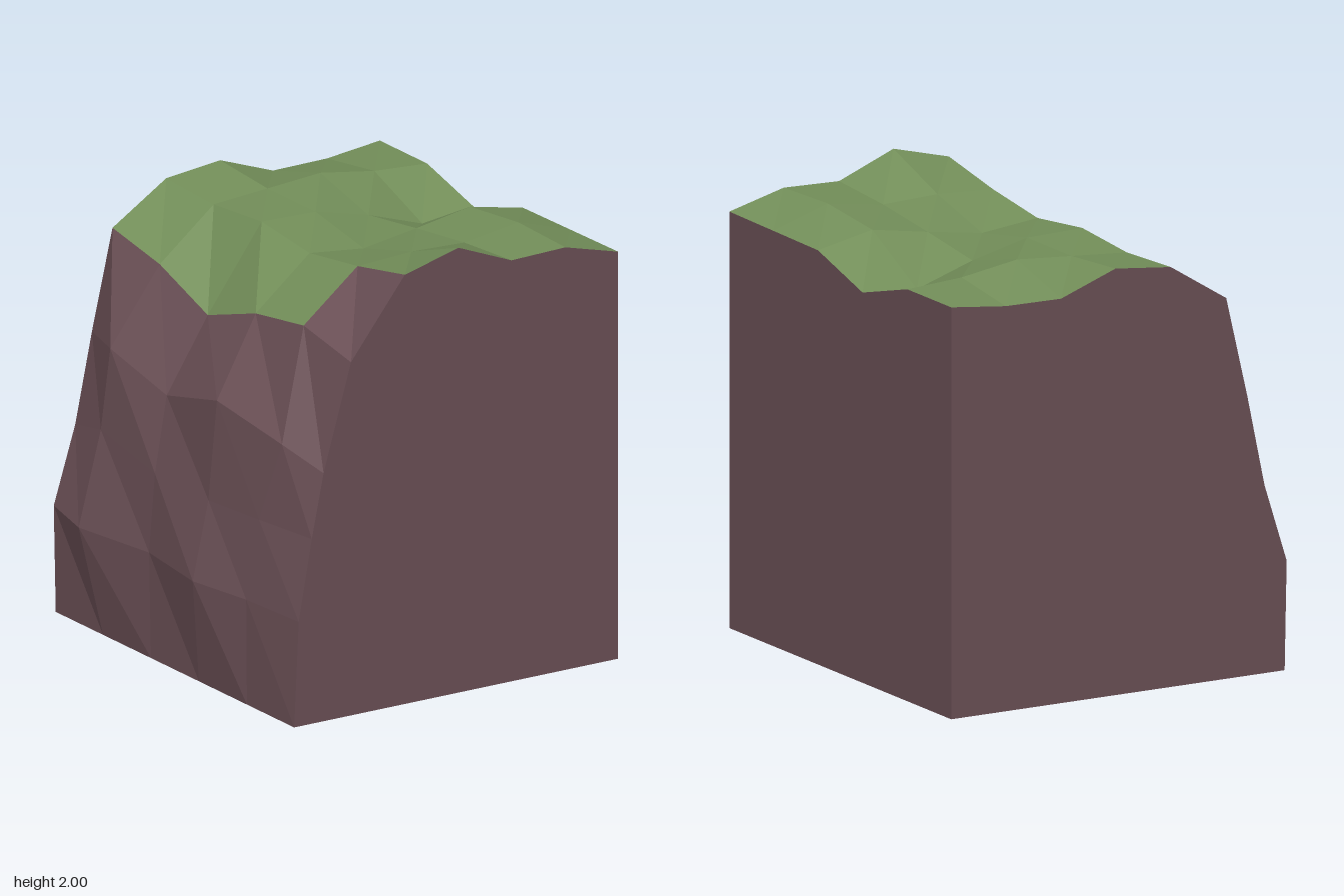
import * as THREE from 'three';

const zRows = [-0.92, -0.555, -0.185, 0.185, 0.555, 0.92];
const xCols = [-0.51, -0.235, 0.04, 0.31, 0.585, 0.855];

// Ground heights: one line per z row (back to front), one entry per x column
const heights = [
  [1.673, 1.845, 1.874, 1.777, 1.78, 1.81],
  [1.612, 1.83, 1.85, 1.87, 1.827, 1.81],
  [1.488, 1.857, 1.85, 1.785, 1.695, 1.715],
  [1.6, 1.82, 1.79, 1.83, 1.875, 1.82],
  [1.65, 1.866, 1.88, 1.87, 1.91, 1.825],
  [1.588, 1.93, 2.0, 1.893, 1.9, 1.83],
];

// Jagged cliff points above the foot: [x, y, z], low to high, per z row
const cliffs = [
  [[-0.81, 0.48, -0.92], [-0.7, 0.826, -0.92], [-0.615, 1.227, -0.92]],
  [[-0.855, 0.463, -0.66], [-0.755, 0.89, -0.64], [-0.72, 1.254, -0.62]],
  [[-0.8, 0.47, -0.2], [-0.77, 0.82, -0.2], [-0.69, 1.148, -0.23]],
  [[-0.855, 0.47, 0.22], [-0.775, 0.82, 0.22], [-0.738, 1.263, 0.23]],
  [[-0.8, 0.47, 0.55], [-0.755, 0.83, 0.58], [-0.71, 1.19, 0.69]],
  [[-0.777, 0.47, 0.92], [-0.71, 0.83, 0.92], [-0.65, 1.115, 0.92]],
];

// Full cross-section of each row: foot, cliff, then ground
const sections = zRows.map((z, j) => [
  [-0.8, 0, z],
  ...cliffs[j],
  ...xCols.map((x, i) => [x, heights[j][i], z]),
]);

// Surface made of the grid cells accepted by the test
function surface(accept) {
  const points = [];
  for (let j = 0; j < sections.length - 1; j++) {
    for (let i = 0; i < sections[j].length - 1; i++) {
      if (!accept(i, j)) continue;
      const a = sections[j][i], b = sections[j][i + 1];
      const c = sections[j + 1][i + 1], d = sections[j + 1][i];
      points.push(...a, ...d, ...b, ...b, ...d, ...c);
    }
  }
  const geometry = new THREE.BufferGeometry();
  geometry.setAttribute('position', new THREE.Float32BufferAttribute(points, 3));
  geometry.computeVertexNormals();
  return geometry;
}

// Flat cut wall from a [u, y] outline, turned to face its side
function wall(outline, turn, distance) {
  const shape = new THREE.Shape(outline.map(([u, y]) => new THREE.Vector2(u, y)));
  return new THREE.ShapeGeometry(shape).translate(0, 0, distance).rotateY(turn);
}

export function createModel() {
  const group = new THREE.Group();
  const earth = new THREE.MeshStandardMaterial({ color: 0x6b5056 });
  earth.name = 'earth brown';
  const grass = new THREE.MeshStandardMaterial({ color: 0x74905a });
  grass.name = 'grass green';
  for (const m of [earth, grass]) {
    m.side = THREE.DoubleSide;
    m.flatShading = true;
  }

  const add = (name, geometry, material) => {
    const mesh = new THREE.Mesh(geometry, material);
    mesh.name = name;
    group.add(mesh);
  };

  // Grass covers the ground except for one bare cell at the front of the cliff edge
  const isGrass = (i, j) => i >= 4 && !(i === 4 && j === 4);
  add('grassTop', surface(isGrass), grass);
  add('cliffFace', surface((i, j) => !isGrass(i, j)), earth);

  // Cut walls; the underside stays open
  const front = sections[5].map(([x, y]) => [x, y]);
  const back = sections[0].map(([x, y]) => [-x, y]);
  const side = zRows.map((z, j) => [-z, heights[j][5]]);
  add('frontWall', wall([...front, [0.855, 0]], 0, 0.92), earth);
  add('backWall', wall([...back, [-0.855, 0]], Math.PI, 0.92), earth);
  add('sideWall', wall([...side, [-0.92, 0], [0.92, 0]], Math.PI / 2, 0.855), earth);

  return group;
}
